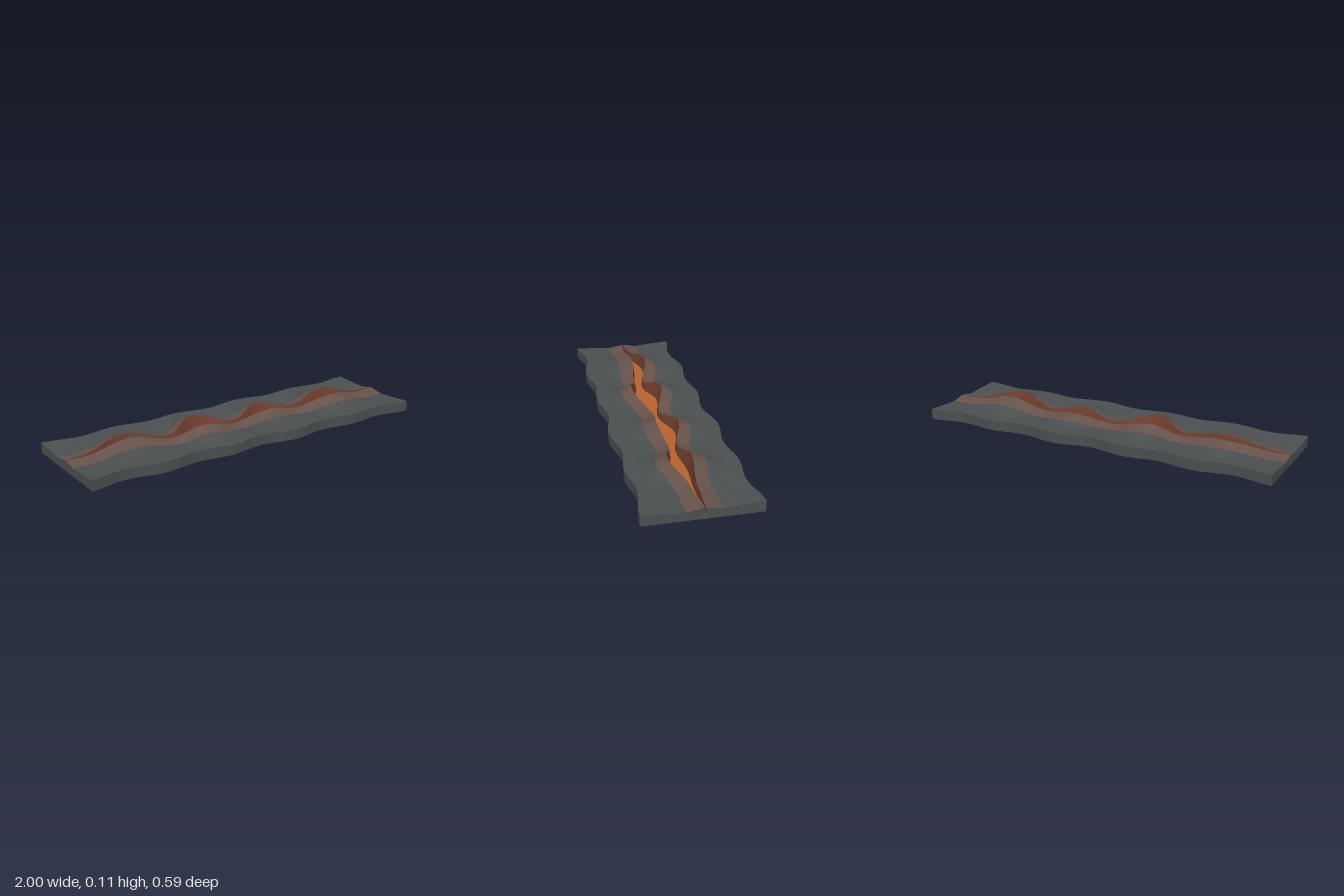
import * as THREE from 'three';

const COLS = 160;

// Smooth curve through [x, value] knots, flat at every knot
function ease(knots) {
  return (x) => {
    let i = 0;
    while (i < knots.length - 2 && x > knots[i + 1][0]) i++;
    const [x0, v0] = knots[i], [x1, v1] = knots[i + 1];
    const t = (x - x0) / (x1 - x0);
    return v0 + (v1 - v0) * (1 - Math.cos(Math.PI * t)) / 2;
  };
}

// Height of the crack's raised lips, and where each lip runs
const lipHeight = ease([[-1, 0.057], [-0.93, 0.056], [-0.65, 0.098], [-0.41, 0.058], [-0.25, 0.112],
  [0, 0.055], [0.2, 0.098], [0.4, 0.062], [0.62, 0.115], [0.88, 0.064], [1, 0.06]]);
const backLip = ease([[-1, -0.002], [-0.9, -0.012], [-0.65, -0.07], [-0.4, -0.016], [-0.22, -0.076],
  [0, -0.018], [0.2, -0.076], [0.41, -0.02], [0.6, -0.042], [0.82, -0.016], [1, -0.01]]);
const frontLip = ease([[-1, 0.004], [-0.85, 0.01], [-0.67, 0.004], [-0.42, 0.035], [-0.22, 0.09],
  [0.03, 0.018], [0.2, 0.043], [0.4, 0.026], [0.62, 0.08], [0.85, 0.015], [1, -0.004]]);

// Rippled outer edge
const outerEdge = (x, phase) => 0.275 + 0.014 * Math.cos(5 * Math.PI * (x + phase)) + 0.004 * Math.cos(9 * x + phase * 20);

// Closed cross-section at x, running from the back bottom over the top to the front bottom
function section(x) {
  const h = lipHeight(x), rise = h - 0.057;
  const b = backLip(x), f = frontLip(x);
  const bo = -outerEdge(x, 0.2), fo = outerEdge(x, 0.21);
  const mid = (b + f) / 2, mix = THREE.MathUtils.lerp;
  const shoulder = 0.042 + 0.72 * rise, slope = 0.05 + 0.18 * rise, rim = 0.056;
  return [
    [0, bo], [rim, bo], [slope, mix(b, bo, 0.62)], [shoulder, mix(b, bo, 0.28)], [h, b],
    [0.022, mix(b, mid, 0.28)], [0.022, mix(f, mid, 0.28)],
    [h, f], [shoulder, mix(f, fo, 0.28)], [slope, mix(f, fo, 0.62)], [rim, fo], [0, fo],
  ].map(([y, z]) => new THREE.Vector3(x, y, z));
}

// Surface through equal rows of points
function grid(rows) {
  const n = rows[0].length, index = [];
  for (let i = 0; i < rows.length - 1; i++) {
    for (let j = 0; j < n - 1; j++) {
      const a = i * n + j, c = a + n;
      index.push(a, a + 1, c, a + 1, c + 1, c);
    }
  }
  const g = new THREE.BufferGeometry().setFromPoints(rows.flat());
  g.setIndex(index);
  g.computeVertexNormals();
  return g;
}

export function createModel() {
  const group = new THREE.Group();
  const rock = new THREE.MeshStandardMaterial({ color: 0x4b4f4f });
  const scorched = new THREE.MeshStandardMaterial({ color: 0x66524a });
  const wall = new THREE.MeshStandardMaterial({ color: 0x73402f });
  const molten = new THREE.MeshStandardMaterial({ color: 0xb5622f });

  const add = (name, rows, material) => {
    const mesh = new THREE.Mesh(grid(rows), material);
    mesh.name = name;
    group.add(mesh);
  };

  const sections = [];
  for (let i = 0; i <= COLS; i++) sections.push(section(-1 + (2 * i) / COLS));

  // Lengthwise strips, one between each pair of neighbouring section points
  const strips = [
    ['backEdge', rock], ['backOuterGround', rock], ['backInnerGround', rock], ['backScorchedRidge', scorched],
    ['backCrackWall', wall], ['moltenFloor', molten], ['frontCrackWall', wall],
    ['frontScorchedRidge', scorched], ['frontInnerGround', rock], ['frontOuterGround', rock], ['frontEdge', rock],
    ['underside', rock],
  ];
  strips.forEach(([name, material], k) => {
    add(name, sections.map((s) => [s[k], s[(k + 1) % s.length]]), material);
  });

  // End faces drop from the section outline to the ground
  const drop = (s) => s.map((p) => new THREE.Vector3(p.x, 0, p.z));
  const first = sections[0], last = sections[COLS];
  add('leftEnd', [last, drop(last)], rock);
  add('rightEnd', [drop(first), first], rock);
  return group;
}
